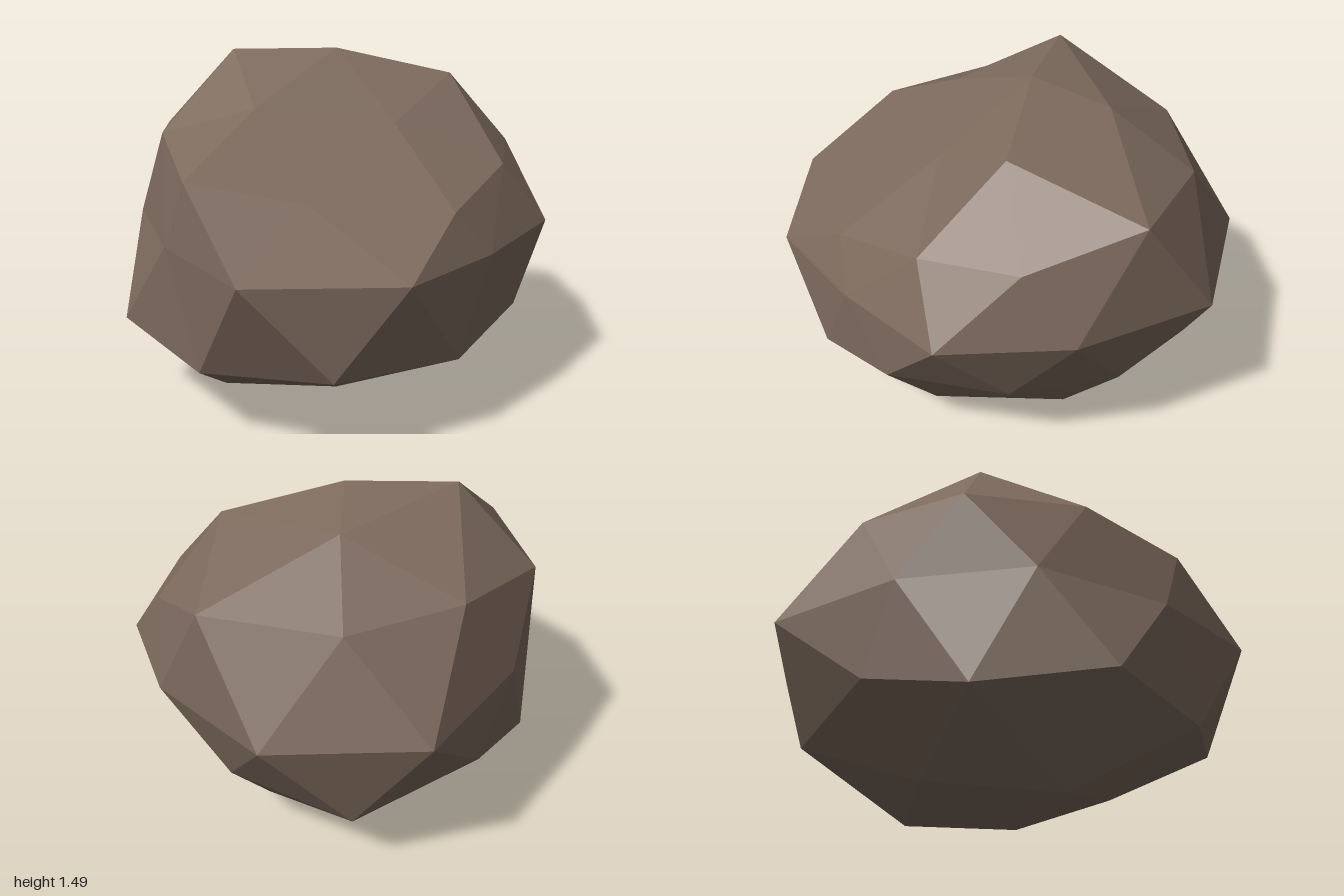
import * as THREE from 'three';

// Rings of points from top to bottom, each running anticlockwise seen from above.
const TOP = [[0.06, 1.49, -0.09]];
const CROWN = [
  [0.21, 1.21, 0.30], [0.55, 1.38, 0.04], [0.20, 1.41, -0.40],
  [-0.38, 1.48, -0.25], [-0.37, 1.28, 0.21],
];
const SHOULDER = [
  [0.33, 0.92, 0.72], [0.67, 1.03, 0.39], [0.85, 1.06, 0.00], [0.80, 1.22, -0.47], [0.32, 1.17, -0.74],
  [-0.19, 1.19, -0.72], [-0.66, 1.13, -0.45], [-0.74, 1.17, 0.07], [-0.71, 1.06, 0.54], [-0.25, 0.97, 0.65],
];
const WAIST = [
  [0.06, 0.73, 1.00], [0.50, 0.73, 0.70], [0.91, 0.75, 0.34], [0.92, 0.76, -0.21], [0.68, 0.76, -0.78],
  [0.06, 0.76, -1.00], [-0.47, 0.78, -0.66], [-0.82, 0.77, -0.21], [-0.78, 0.77, 0.41], [-0.58, 0.76, 0.95],
];
const FLANK = [
  [0.32, 0.35, 0.83], [0.68, 0.45, 0.54], [0.77, 0.40, 0.04], [0.70, 0.41, -0.42], [0.30, 0.31, -0.78],
  [-0.30, 0.41, -0.72], [-0.68, 0.30, -0.43], [-0.93, 0.36, 0.07], [-0.68, 0.30, 0.60], [-0.23, 0.37, 0.98],
];
const BASE = [
  [0.48, 0.13, 0.35], [0.48, 0.08, -0.22], [-0.19, 0.07, -0.42],
  [-0.50, 0.00, 0.07], [-0.10, 0.14, 0.52],
];
const BOTTOM = [[0.07, 0.03, 0.00]];

function boulderGeometry() {
  const positions = [];
  const tri = (a, b, c) => positions.push(...a, ...b, ...c);
  const at = (ring, i) => ring[(i + ring.length) % ring.length];

  // Top and bottom caps, each a fan joined to the ten-sided ring next to it
  for (let k = 0; k < 5; k++) {
    const c = at(CROWN, k), cNext = at(CROWN, k + 1), i = 2 * k;
    tri(TOP[0], c, cNext);
    tri(c, at(SHOULDER, i - 1), at(SHOULDER, i));
    tri(c, at(SHOULDER, i), at(SHOULDER, i + 1));
    tri(c, at(SHOULDER, i + 1), cNext);

    const b = at(BASE, k), bNext = at(BASE, k + 1), j = 2 * k + 1;
    tri(BOTTOM[0], bNext, b);
    tri(b, at(FLANK, j), at(FLANK, j - 1));
    tri(b, at(FLANK, j + 1), at(FLANK, j));
    tri(b, bNext, at(FLANK, j + 1));
  }

  // Zigzag bands above and below the waist
  for (let i = 0; i < 10; i++) {
    const w = at(WAIST, i), wNext = at(WAIST, i + 1);
    tri(at(SHOULDER, i), w, wNext);
    tri(at(SHOULDER, i), wNext, at(SHOULDER, i + 1));
    tri(w, at(FLANK, i), wNext);
    tri(wNext, at(FLANK, i), at(FLANK, i + 1));
  }

  const geometry = new THREE.BufferGeometry();
  geometry.setAttribute('position', new THREE.Float32BufferAttribute(positions, 3));
  geometry.computeVertexNormals();
  return geometry;
}

export function createModel() {
  const stone = new THREE.MeshStandardMaterial({ color: 0x7d6a5d, flatShading: true });
  stone.name = 'brownStone';

  const boulder = new THREE.Mesh(boulderGeometry(), stone);
  boulder.name = 'boulder';

  const group = new THREE.Group();
  group.name = 'rock';
  group.add(boulder);
  return group;
}
